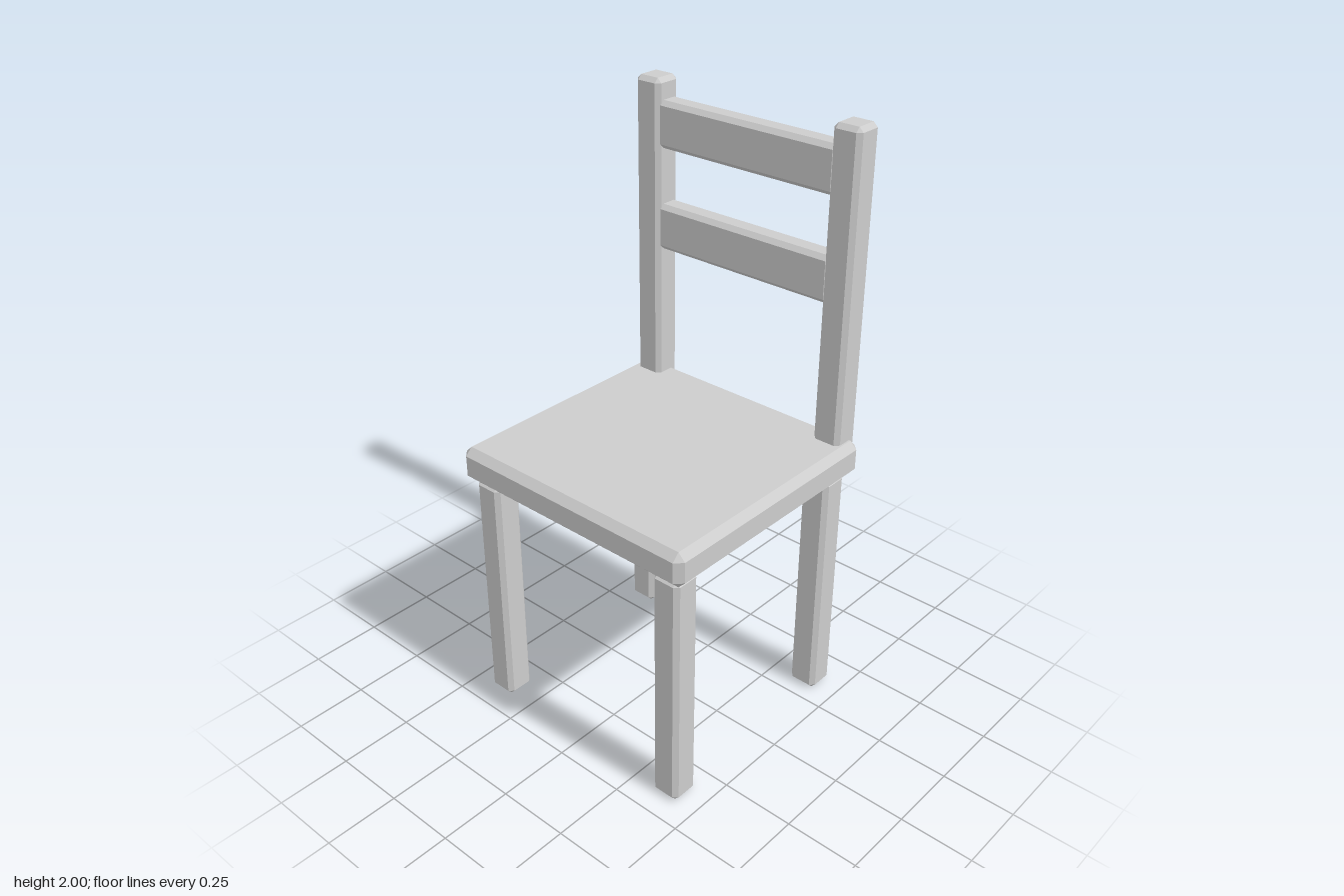
import * as THREE from 'three';
import { ConvexGeometry } from 'three/addons/geometries/ConvexGeometry.js';

const paint = new THREE.MeshStandardMaterial({ color: 0xcccccc });
paint.name = 'light grey';

// Box with every edge chamfered by b, given as [min, max] ranges
function chamferedBox(name, xr, yr, zr, b) {
  const size = [xr, yr, zr].map(([lo, hi]) => (hi - lo) / 2);
  const points = [];
  for (const sx of [-1, 1]) for (const sy of [-1, 1]) for (const sz of [-1, 1]) {
    // each corner becomes three points, one on each adjoining face
    for (let face = 0; face < 3; face++) {
      const p = [sx, sy, sz].map((s, i) => s * (size[i] - (i === face ? 0 : b)));
      points.push(new THREE.Vector3(...p));
    }
  }
  const mesh = new THREE.Mesh(new ConvexGeometry(points), paint);
  mesh.position.set(...[xr, yr, zr].map(([lo, hi]) => (lo + hi) / 2));
  mesh.name = name;
  return mesh;
}

export function createModel() {
  const chair = new THREE.Group();
  chair.name = 'chair';

  // Seat slab
  chair.add(chamferedBox('seat', [-0.462, 0.462], [0.848, 0.969], [-0.438, 0.446], 0.025));

  // Legs and back posts, mirrored left and right
  for (const [side, s] of [['left', 1], ['right', -1]]) {
    const xr = s > 0 ? [0.331, 0.431] : [-0.431, -0.331];
    chair.add(
      chamferedBox(side + 'FrontLeg', xr, [0, 0.849], [0.32, 0.42], 0.015),
      chamferedBox(side + 'BackLeg', xr, [0, 0.849], [-0.405, -0.305], 0.015),
      chamferedBox(side + 'BackPost', xr, [0.908, 2], [-0.449, -0.349], 0.015),
    );
  }

  // Two rails across the back
  chair.add(
    chamferedBox('upperRail', [-0.347, 0.347], [1.775, 1.931], [-0.44, -0.36], 0.015),
    chamferedBox('lowerRail', [-0.347, 0.347], [1.431, 1.587], [-0.44, -0.36], 0.015),
  );
  return chair;
}
